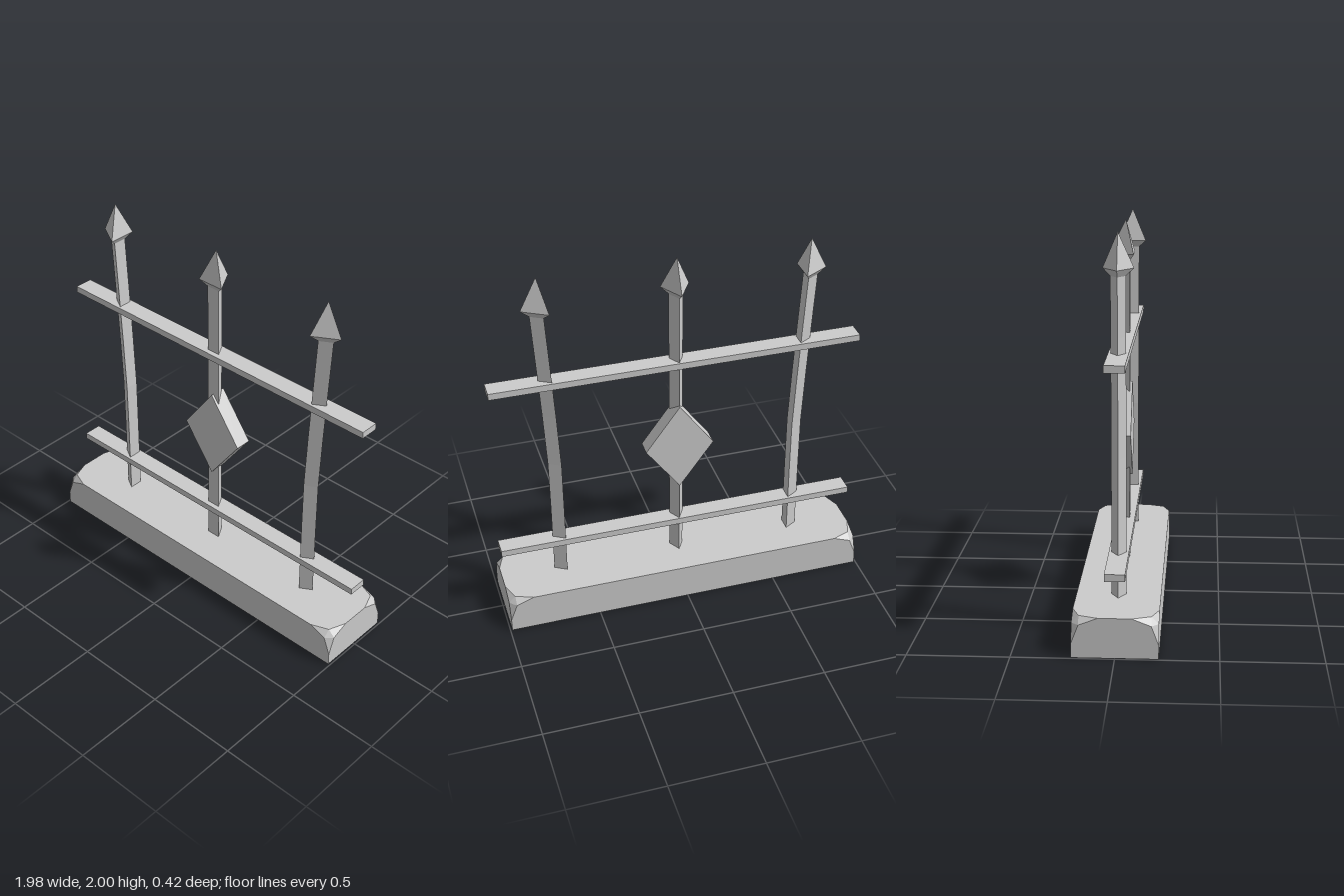
import * as THREE from 'three';
import { ConvexGeometry } from 'three/addons/geometries/ConvexGeometry.js';

const material = new THREE.MeshStandardMaterial({ color: 0xcccccc, flatShading: true });
const hollowMaterial = new THREE.MeshStandardMaterial({ color: 0xcccccc, flatShading: true, side: THREE.DoubleSide });

function addMesh(parent, name, geometry, x = 0, y = 0, z = 0, mat = material) {
  const mesh = new THREE.Mesh(geometry, mat);
  mesh.name = name;
  mesh.position.set(x, y, z);
  parent.add(mesh);
  return mesh;
}

// Stone base: block with chipped upper corners and an open underside
function baseGeometry() {
  const X = 0.99, Y = 0.2, Z = 0.21, cut = 0.13, mid = 0.036;
  const points = [];
  for (const sx of [-1, 1]) for (const sz of [-1, 1]) {
    const add = (dx, dy, dz) => points.push(new THREE.Vector3(sx * (X - dx), Y - dy, sz * (Z - dz)));
    add(0, Y, 0);
    add(cut, 0, 0);
    add(0, cut, 0);
    add(0, 0, cut);
    add(mid, 0, mid);
    add(mid, mid, 0);
    add(0, mid, mid);
  }
  const hull = new ConvexGeometry(points).getAttribute('position');
  const kept = [];
  for (let i = 0; i < hull.count; i += 3) {
    const corners = [i, i + 1, i + 2];
    if (corners.every((k) => hull.getY(k) < 0.001)) continue; // leave the bottom open
    for (const k of corners) kept.push(hull.getX(k), hull.getY(k), hull.getZ(k));
  }
  const geometry = new THREE.BufferGeometry();
  geometry.setAttribute('position', new THREE.Float32BufferAttribute(kept, 3));
  geometry.computeVertexNormals();
  return geometry;
}

// Outward lean of the outer posts at a given height
const lean = (y) => 0.657 + 0.05 * Math.pow(Math.max(0, y - 0.85) / 0.95, 1.15);

// Three-sided post with a spear head; side is -1, 0 or 1
function addPost(parent, name, side) {
  const post = new THREE.Group();
  post.name = name;
  parent.add(post);
  const turn = side === 0 ? Math.PI : side * Math.PI / 2; // one ridge faces outward
  const height = 1.8;

  const shaft = new THREE.CylinderGeometry(0.043, 0.043, height, 3, 6, false, turn);
  shaft.translate(0, height / 2, 0);
  const p = shaft.getAttribute('position');
  for (let i = 0; i < p.count; i++) p.setX(i, p.getX(i) + side * lean(p.getY(i)));
  shaft.computeVertexNormals();
  addMesh(post, 'shaft', shaft);

  const profile = [[0, 1.79], [0.043, 1.79], [0.087, 1.825], [0, 2]].map(([r, y]) => new THREE.Vector2(r, y));
  addMesh(post, 'spearHead', new THREE.LatheGeometry(profile, 3, turn), side * lean(height));
}

export function createModel() {
  const model = new THREE.Group();
  model.name = 'fence';

  addMesh(model, 'base', baseGeometry(), 0, 0, 0, hollowMaterial);

  addPost(model, 'rightPost', -1);
  addPost(model, 'middlePost', 0);
  addPost(model, 'leftPost', 1);

  // Horizontal rails
  addMesh(model, 'lowerRail', new THREE.BoxGeometry(1.98, 0.036, 0.1), 0, 0.4, 0);
  addMesh(model, 'upperRail', new THREE.BoxGeometry(1.98, 0.036, 0.1), 0, 1.398, 0);

  // Diamond plate on the middle post
  const diamond = new THREE.Shape([[0, -0.253], [0.185, 0], [0, 0.253], [-0.185, 0]].map(([x, y]) => new THREE.Vector2(x, y)));
  const plate = new THREE.ExtrudeGeometry(diamond, { depth: 0.09, bevelEnabled: false });
  addMesh(model, 'diamondPlate', plate, 0, 0.9, -0.055);

  return model;
}
